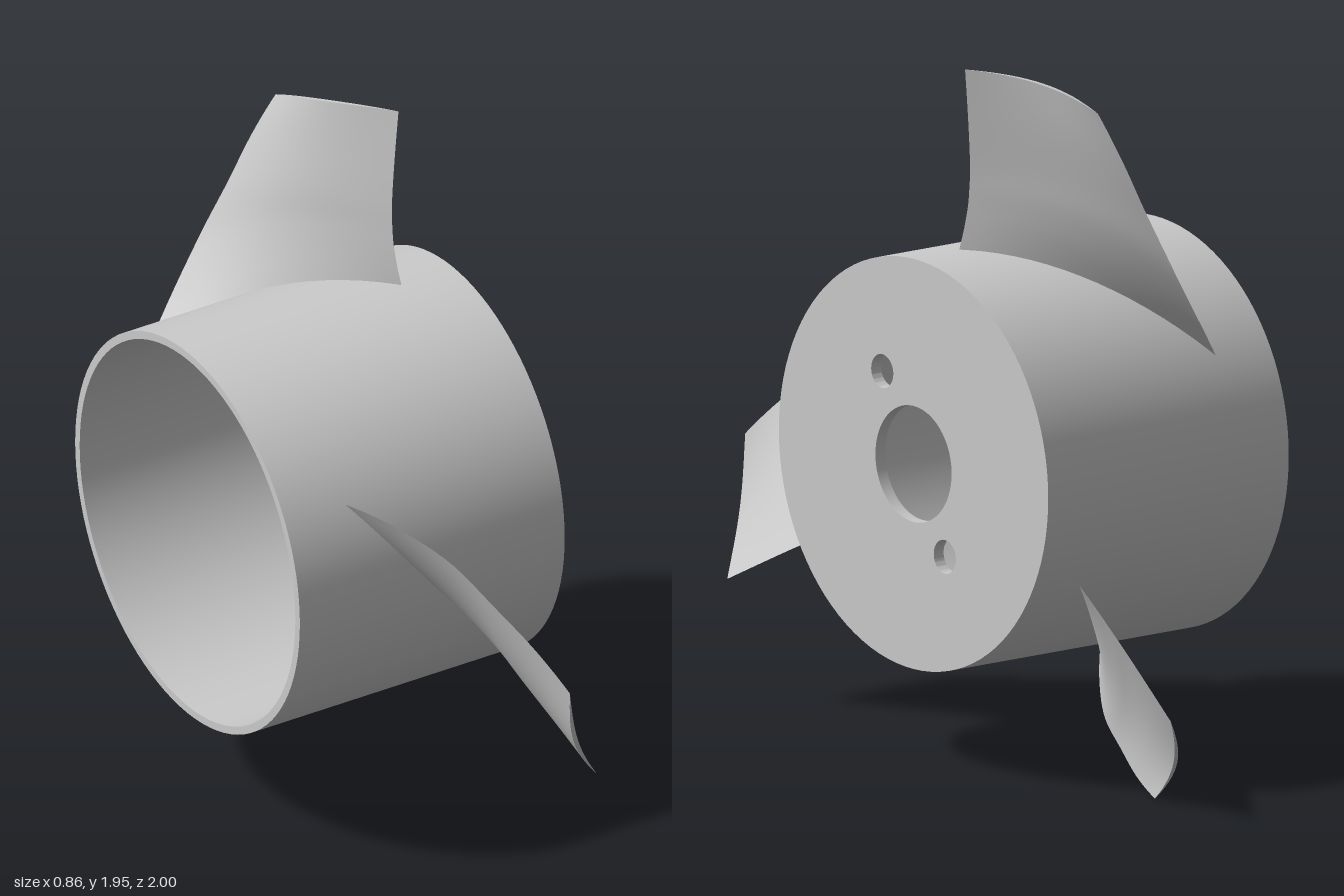
import * as THREE from 'three';
import { toCreasedNormals } from 'three/addons/utils/BufferGeometryUtils.js';

const material = new THREE.MeshStandardMaterial({ color: 0xcccccc });
const HUB_R = 0.573, WALL_IN = 0.55, BACK = -0.43, FACE = 0.425, PLATE = 0.035;

// Blade edges from root to tip: [radius, angle in degrees, position along the axle]
const NEAR_EDGE = [[0.56, -1.2, 0.256], [0.65, 0.6, 0.247], [0.73, 1.6, 0.245], [0.83, 2.1, 0.25], [0.96, 2.3, 0.264], [1.09, 2.4, 0.28]];
const FAR_EDGE = [[0.56, 60.5, -0.25], [0.686, 49.3, -0.13], [0.77, 42.5, -0.06], [0.877, 34, 0.01], [0.99, 27.8, 0.07], [1.09, 22.6, 0.12]];

function add(group, name, geometry) {
  const mesh = new THREE.Mesh(geometry, material);
  mesh.name = name;
  group.add(mesh);
  return mesh;
}

// Thin twisted blade: a loop of lens-shaped sections, closed at the tip
function bladeGeometry() {
  const ROWS = 24, N = 16, RING = 2 * N;
  const curve = (pts) => new THREE.CatmullRomCurve3(pts.map((p) => new THREE.Vector3(...p)));
  const near = curve(NEAR_EDGE), far = curve(FAR_EDGE);
  const positions = [], index = [];
  for (let j = 0; j <= ROWS + 1; j++) {
    const t = Math.min(j / ROWS, 1);
    const a = near.getPoint(t), b = far.getPoint(t);
    const camber = 0.034 * t;
    const thick = j > ROWS ? 0 : 0.012 - 0.005 * t;
    for (let i = 0; i < RING; i++) {
      const s = i <= N ? i / N : (RING - i) / N;
      const p = a.clone().lerp(b, s);
      const bulge = Math.sin(Math.PI * s);
      const angle = THREE.MathUtils.degToRad(p.y);
      positions.push(
        p.z - camber * bulge + (i <= N ? 1 : -1) * thick * bulge,
        p.x * Math.cos(angle),
        -p.x * Math.sin(angle)
      );
    }
  }
  for (let j = 0; j <= ROWS; j++) {
    for (let i = 0; i < RING; i++) {
      const k = (i + 1) % RING;
      const p = j * RING + i, q = j * RING + k;
      index.push(p, q, p + RING, q, q + RING, p + RING);
    }
  }
  const geometry = new THREE.BufferGeometry();
  geometry.setAttribute('position', new THREE.Float32BufferAttribute(positions, 3));
  geometry.setIndex(index);
  return toCreasedNormals(geometry, 0.5);
}

export function createModel() {
  const model = new THREE.Group();
  model.name = 'propeller';

  // Everything turns around this axle, which runs along x
  const rotor = new THREE.Group();
  rotor.name = 'rotor';
  rotor.position.set(0, 0.873, -0.081);
  model.add(rotor);

  // Hub wall: open at the back
  const profile = [[WALL_IN, BACK], [HUB_R, BACK], [HUB_R, FACE], [WALL_IN, FACE], [WALL_IN, BACK]];
  const wall = new THREE.LatheGeometry(profile.map((p) => new THREE.Vector2(...p)), 96);
  wall.rotateZ(-Math.PI / 2);
  add(rotor, 'hubWall', toCreasedNormals(wall, 0.5));

  // Hub face with the axle hole and two pin holes
  const disc = new THREE.Shape().absarc(0, 0, WALL_IN + 0.002, 0, Math.PI * 2);
  for (const [u, v, r] of [[0, 0, 0.162], [-0.133, 0.237, 0.047], [0.133, -0.237, 0.047]]) {
    disc.holes.push(new THREE.Path().absarc(u, v, r, 0, Math.PI * 2, true));
  }
  const face = new THREE.ExtrudeGeometry(disc, { depth: PLATE, bevelEnabled: false, curveSegments: 48 });
  face.translate(0, 0, FACE - PLATE);
  face.rotateY(Math.PI / 2);
  add(rotor, 'hubFace', toCreasedNormals(face, 0.5));

  // Three blades
  const blade = bladeGeometry();
  for (let i = 0; i < 3; i++) {
    add(rotor, 'blade' + (i + 1), blade).rotation.x = (i * Math.PI * 2) / 3;
  }
  return model;
}
